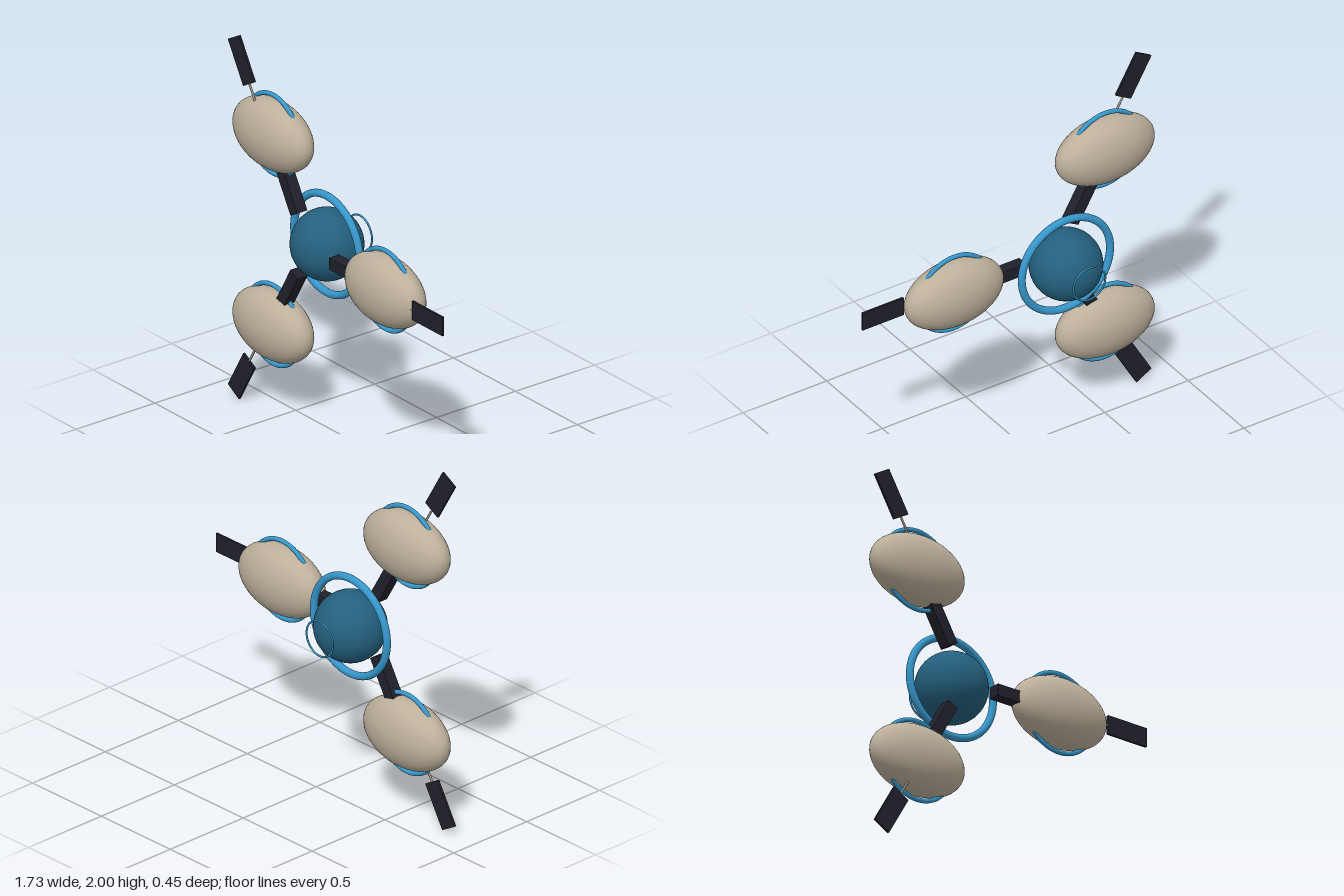
import * as THREE from 'three';

const material = (name, color) => {
  const m = new THREE.MeshStandardMaterial({ color });
  m.name = name;
  return m;
};

export function createModel() {
  const deepBlue = material('deep blue', 0x24607e);
  const brightBlue = material('bright blue', 0x3697cb);
  const beige = material('beige', 0xbdb09b);
  const dark = material('dark', 0x20202b);
  const grey = material('warm grey', 0x999084);

  const model = new THREE.Group();
  model.name = 'station';

  const add = (parent, name, geometry, mat, x = 0, y = 0, z = 0) => {
    const mesh = new THREE.Mesh(geometry, mat);
    mesh.name = name;
    mesh.position.set(x, y, z);
    parent.add(mesh);
    return mesh;
  };

  // Central hub with its large ring and the thin docking ring behind
  const hub = new THREE.Group();
  hub.name = 'hub';
  hub.position.set(-0.26, 1, -0.01);
  model.add(hub);
  add(hub, 'hubSphere', new THREE.SphereGeometry(0.187, 48, 32), deepBlue);
  add(hub, 'hubRing', new THREE.TorusGeometry(0.265, 0.02, 16, 72), brightBlue);
  add(hub, 'dockingRing', new THREE.TorusGeometry(0.096, 0.005, 10, 48), brightBlue, 0, 0, -0.21);

  // Shared geometry for the three modules
  const podGeometry = new THREE.SphereGeometry(1, 48, 32).scale(0.287, 0.186, 0.129);
  const podRingGeometry = new THREE.TorusGeometry(0.215, 0.012, 12, 64);
  const armGeometry = new THREE.BoxGeometry(0.24, 0.064, 0.064);
  const rodGeometry = new THREE.CylinderGeometry(0.006, 0.006, 0.2, 12).rotateZ(Math.PI / 2);
  const panelGeometry = new THREE.BoxGeometry(0.247, 0.103, 0.012);

  for (let i = 0; i < 3; i++) {
    const angle = (i * Math.PI * 2) / 3;

    // Radial parts turn with the spoke
    const spoke = new THREE.Group();
    spoke.name = 'spoke' + (i + 1);
    spoke.position.set(-0.26, 1, 0);
    spoke.rotation.z = angle;
    model.add(spoke);
    add(spoke, 'arm', armGeometry, dark, 0.31, 0, 0.093);
    add(spoke, 'panelRod', rodGeometry, grey, 0.79, 0, 0.136);
    add(spoke, 'panel', panelGeometry, dark, 1.002, 0, 0.136);

    // Pods and their rings stay level
    const pod = new THREE.Group();
    pod.name = 'pod' + (i + 1);
    pod.position.set(-0.26 + 0.604 * Math.cos(angle), 1 + 0.604 * Math.sin(angle), 0.093);
    model.add(pod);
    add(pod, 'podBody', podGeometry, beige);
    add(pod, 'podRing', podRingGeometry, brightBlue);
  }

  return model;
}
